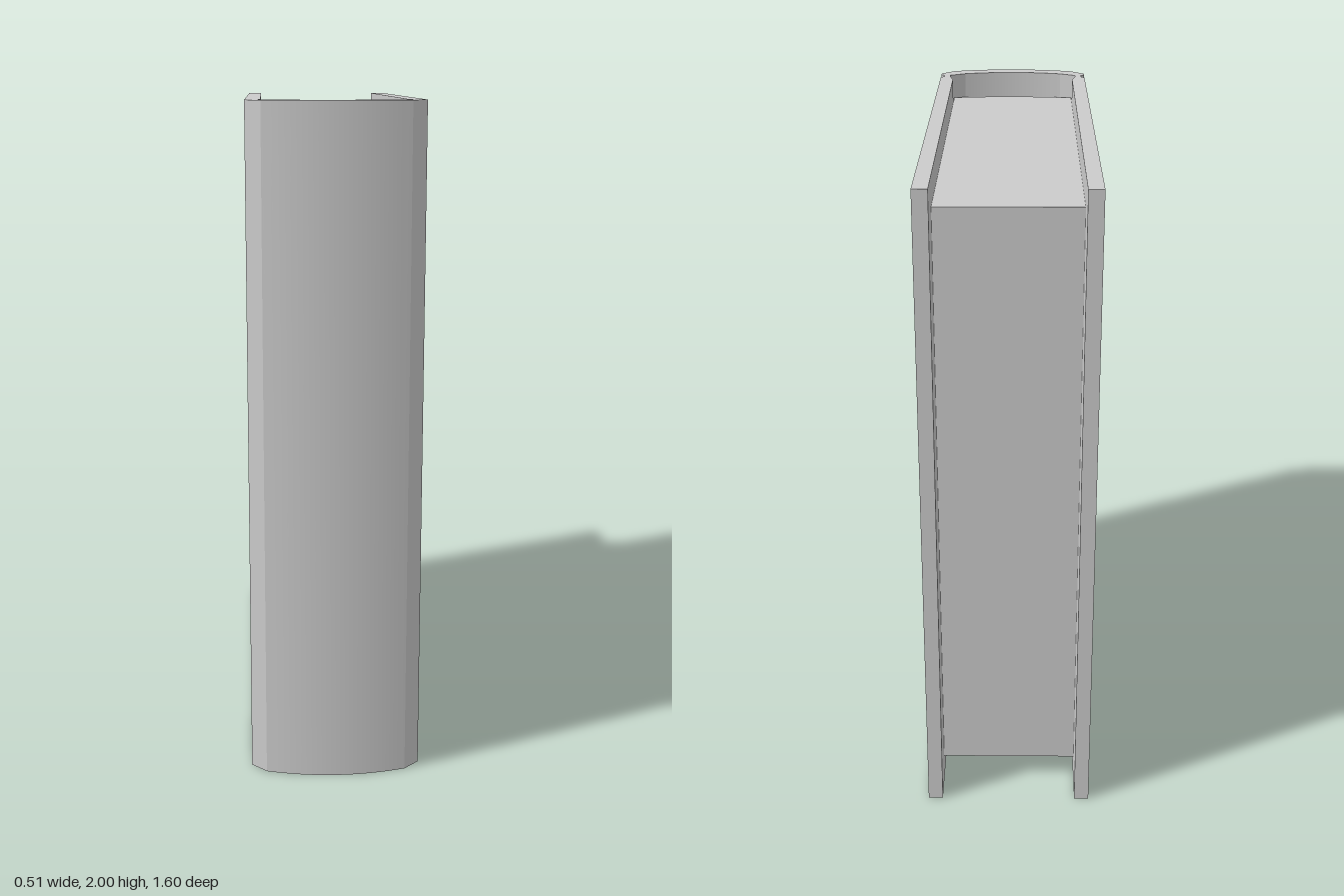
import * as THREE from 'three';
import { toCreasedNormals } from 'three/addons/utils/BufferGeometryUtils.js';

const HEIGHT = 2;
const PAGE_INSET = 0.08;

// Points of a shallow bow from x = +w to x = -w, bulging towards the front
function bow(w, zSide, zMid, n = 16) {
  return Array.from({ length: n + 1 }, (_, i) => {
    const t = 1 - (2 * i) / n;
    return [w * t, zMid - (zMid - zSide) * t * t];
  });
}

// Mirror a right-to-left half outline across x = 0
const mirrored = (points) => points.map(([x, z]) => [-x, z]).reverse();

// Extrude a plan outline (x, z) upwards from y0 to y1
function upright(name, outline, y0, y1, material) {
  const shape = new THREE.Shape(outline.map(([x, z]) => new THREE.Vector2(x, z)));
  const geometry = new THREE.ExtrudeGeometry(shape, { depth: y1 - y0, bevelEnabled: false });
  geometry.rotateX(Math.PI / 2).translate(0, y1, 0);
  const mesh = new THREE.Mesh(toCreasedNormals(geometry, 0.15), material);
  mesh.name = name;
  return mesh;
}

export function createModel() {
  const book = new THREE.Group();
  book.name = 'book';
  const material = new THREE.MeshStandardMaterial({ color: 0xcccccc });

  // Cover: two boards, hinge grooves and a bowed spine in one section
  const outerSide = [
    [0.255, -0.8], [0.255, 0.655], [0.243, 0.67], [0.243, 0.69],
    [0.255, 0.7], [0.255, 0.723], [0.21, 0.767],
  ];
  const innerSide = [[0.21, -0.8], [0.21, 0.615], [0.222, 0.67], [0.222, 0.692]];
  const outer = [...outerSide, ...bow(0.21, 0.767, 0.8).slice(1, -1), ...mirrored(outerSide)];
  const inner = [...innerSide, ...bow(0.17, 0.72, 0.745), ...mirrored(innerSide)];
  book.add(upright('cover', [...outer, ...inner.reverse()], 0, HEIGHT, material));

  // Page block: set back from the cover on three sides, bowed at the spine
  const pages = [[0.21, -0.69], ...bow(0.21, 0.695, 0.712), [-0.21, -0.69]];
  book.add(upright('pages', pages, PAGE_INSET, HEIGHT - PAGE_INSET, material));

  return book;
}
